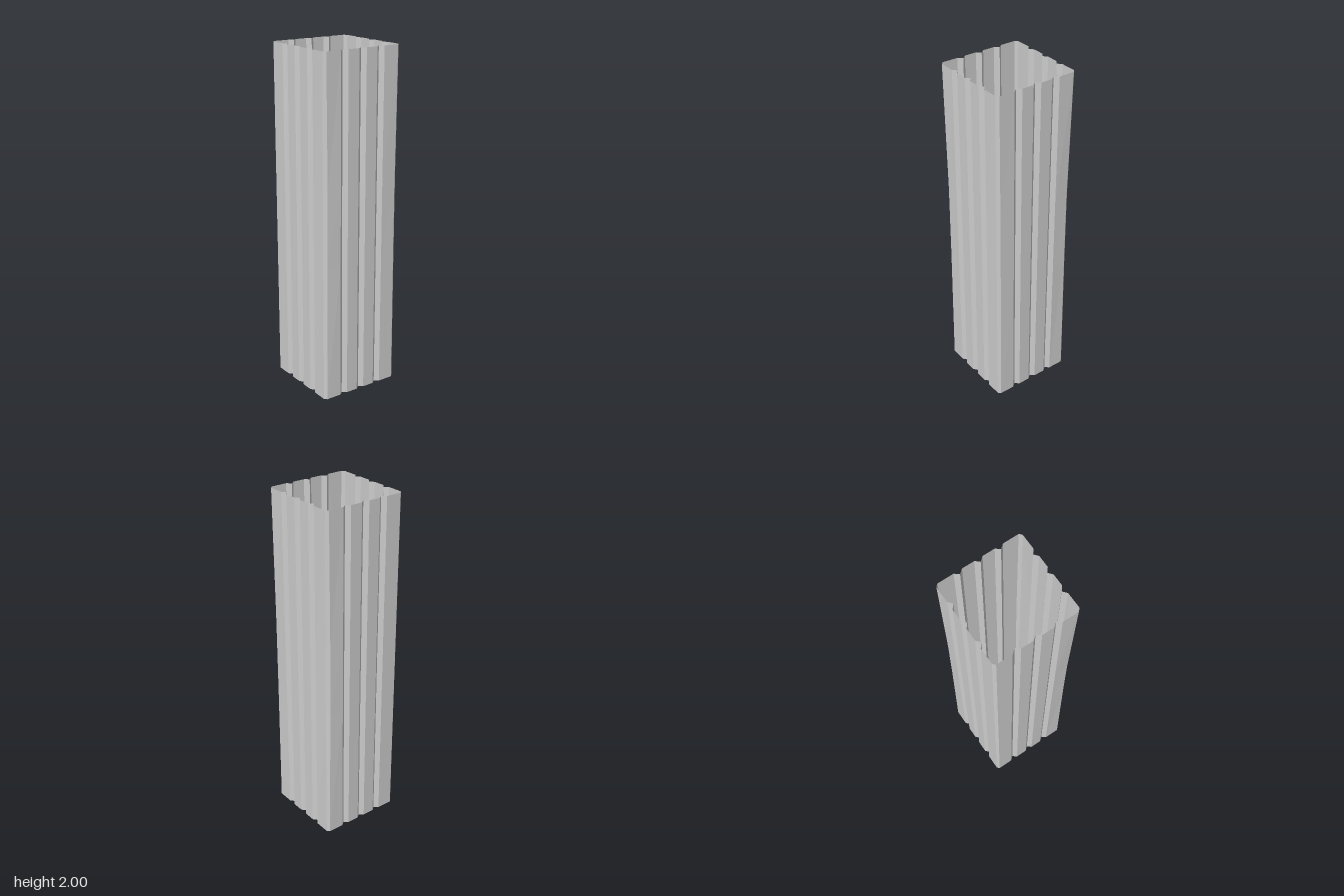
import * as THREE from 'three';

const HALF = 0.25;          // half width of the square column
const EDGE = 0.236;         // where each wall meets the corner chamfer
const GROOVES = [-0.119, 0, 0.119];
const GROOVE_HALF = 0.024;
const GROOVE_DEPTH = 0.02;

// Rows from bottom to top: [height, how far the corners are dented]
const ROWS = [[0, 0], [0.8, 0.8], [1.25, 1], [2, 0]];
// Dent sizes: front-left-hand side order is +x+z, +x-z, -x-z, -x+z
const DENTS = [0.004, 0.009, 0, 0.009];

// One closed cross-section, counter-clockwise from above
function ring(dent) {
  const points = [];
  for (let side = 0; side < 4; side++) {
    const before = DENTS[(side + 3) % 4] * dent;
    const after = DENTS[side] * dent;
    const wall = [[-EDGE + before, HALF - before * 0.45]];
    for (const c of GROOVES) {
      wall.push([c - GROOVE_HALF, HALF], [c, HALF - GROOVE_DEPTH], [c + GROOVE_HALF, HALF]);
    }
    wall.push([EDGE - after, HALF - after * 0.45]);
    const cos = Math.round(Math.cos(side * Math.PI / 2));
    const sin = Math.round(Math.sin(side * Math.PI / 2));
    for (const [u, w] of wall) points.push([u * cos + w * sin, -u * sin + w * cos]);
  }
  return points;
}

// Skin the rows of rings into an open tube
function tubeGeometry() {
  const positions = [];
  const index = [];
  const count = ring(0).length;
  ROWS.forEach(([y, dent], row) => {
    for (const [x, z] of ring(dent)) positions.push(x, y, z);
    if (row === 0) return;
    for (let i = 0; i < count; i++) {
      const a = (row - 1) * count + i;
      const b = (row - 1) * count + (i + 1) % count;
      index.push(a, b, b + count, a, b + count, a + count);
    }
  });
  const indexed = new THREE.BufferGeometry();
  indexed.setAttribute('position', new THREE.Float32BufferAttribute(positions, 3));
  indexed.setIndex(index);
  const geometry = indexed.toNonIndexed();
  geometry.computeVertexNormals();
  return geometry;
}

export function createModel() {
  const group = new THREE.Group();
  group.name = 'groovedColumn';

  // Thin open shell with three vertical grooves on each wall
  const shell = new THREE.Mesh(tubeGeometry(), new THREE.MeshStandardMaterial({
    color: 0xcccccc, flatShading: true, side: THREE.DoubleSide,
  }));
  shell.name = 'columnShell';
  group.add(shell);
  return group;
}
